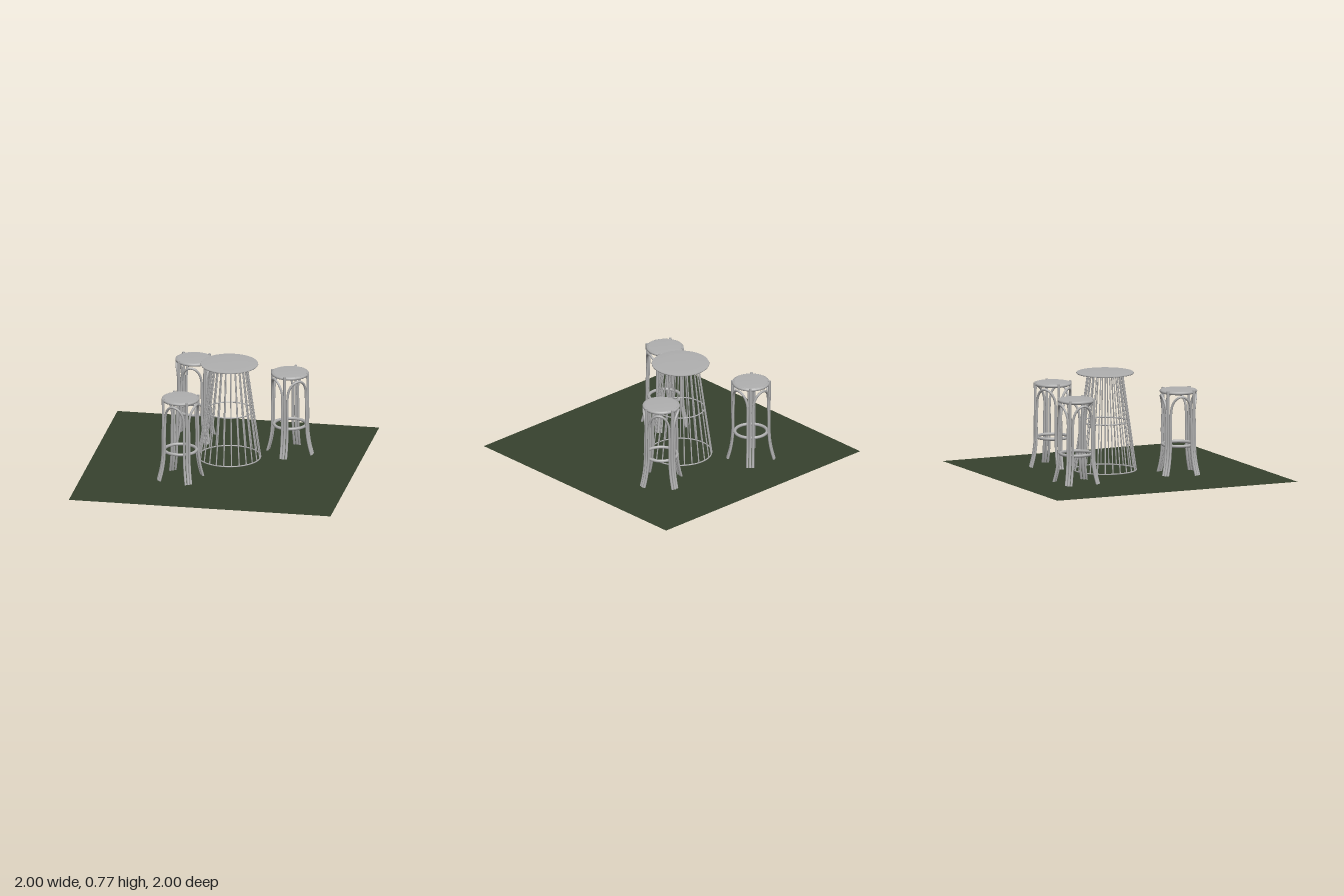
import * as THREE from 'three';

const cane = new THREE.MeshStandardMaterial({ color: 0xb0b0b0, side: THREE.DoubleSide });
cane.name = 'grey cane';
const lawn = new THREE.MeshStandardMaterial({ color: 0x37422e, side: THREE.DoubleSide });
lawn.name = 'dark green lawn';

function add(parent, name, geometry, material = cane) {
  const mesh = new THREE.Mesh(geometry, material);
  mesh.name = name;
  parent.add(mesh);
  return mesh;
}

function ring(parent, name, radius, tube, y) {
  const mesh = add(parent, name, new THREE.TorusGeometry(radius, tube, 8, 48));
  mesh.rotation.x = Math.PI / 2;
  mesh.position.y = y;
  return mesh;
}

// Bent rod through a list of points, closed at both ends
function rod(parent, name, points, radius, segments) {
  const curve = new THREE.CatmullRomCurve3(points);
  add(parent, name, new THREE.TubeGeometry(curve, segments, radius, 8));
  for (const [t, sign] of [[0, -1], [1, 1]]) {
    const cap = add(parent, name + 'End', new THREE.CircleGeometry(radius, 8));
    cap.position.copy(curve.getPointAt(t));
    cap.quaternion.setFromUnitVectors(new THREE.Vector3(0, 0, 1), curve.getTangentAt(t).multiplyScalar(sign));
  }
}

// Lower leg as [distance from the axis, height], flaring out at the foot
const FLARE = [[0.176, 0.004], [0.158, 0.07], [0.145, 0.14], [0.138, 0.22]];

function createStool(x, z, turn) {
  const stool = new THREE.Group();
  stool.name = 'stool';
  stool.position.set(x, 0, z);
  stool.rotation.y = turn;

  // Round seat with softly rolled edge
  const profile = [[0, 0.618], [0.122, 0.618], [0.131, 0.622], [0.135, 0.631], [0.131, 0.641], [0.122, 0.645], [0, 0.646]];
  add(stool, 'seat', new THREE.LatheGeometry(profile.map(p => new THREE.Vector2(...p)), 40));
  ring(stool, 'seatRim', 0.13, 0.012, 0.632);
  ring(stool, 'footRing', 0.121, 0.012, 0.228);

  for (let i = 0; i < 4; i++) {
    const side = new THREE.Group();
    side.name = 'legAndArch';
    side.rotation.y = i * Math.PI / 2;
    stool.add(side);

    // Leg rising to the top of the seat
    const legPoints = [...FLARE, [0.138, 0.4], [0.14, 0.648]];
    rod(side, 'leg', legPoints.map(([r, y]) => new THREE.Vector3(r, y, 0)), 0.0105, 28);

    // Arch joining this leg to the next one, mirrored about the diagonal
    const offset = 0.021;
    const half = FLARE.map(([r, y]) => new THREE.Vector3(r - 0.003, y, offset));
    half.push(new THREE.Vector3(0.135, 0.35, offset));
    const start = Math.atan2(offset, 0.135);
    for (let k = 0; k < 5; k++) {
      const t = k / 5 * Math.PI / 2;
      const a = start + (Math.PI / 4 - start) * (1 - Math.cos(t));
      half.push(new THREE.Vector3(0.132 * Math.cos(a), 0.47 + 0.135 * Math.sin(t), 0.132 * Math.sin(a)));
    }
    const apex = new THREE.Vector3(0.132 * Math.SQRT1_2, 0.605, 0.132 * Math.SQRT1_2);
    const other = half.map(p => new THREE.Vector3(p.z, p.y, p.x)).reverse();
    rod(side, 'arch', [...half, apex, ...other], 0.0095, 64);
  }
  return stool;
}

function createTable() {
  const table = new THREE.Group();
  table.name = 'table';
  table.position.set(0.02, 0, -0.115);

  // Thin top, shaded smoothly over its edge
  const profile = [[0, 0.755], [0.13, 0.755], [0.214, 0.757], [0.217, 0.762], [0.214, 0.767], [0.13, 0.769], [0, 0.769]];
  add(table, 'tableTop', new THREE.LatheGeometry(profile.map(p => new THREE.Vector2(...p)), 48));

  // Tapering wire cage with three hoops
  ring(table, 'baseHoop', 0.235, 0.005, 0.025);
  ring(table, 'middleHoop', 0.18, 0.005, 0.392);
  ring(table, 'topHoop', 0.132, 0.005, 0.752);
  const count = 25;
  for (let i = 0; i < count; i++) {
    const a = i / count * Math.PI * 2;
    const at = (r, y) => new THREE.Vector3(r * Math.sin(a), y, r * Math.cos(a));
    const line = new THREE.LineCurve3(at(0.235, 0.025), at(0.132, 0.755));
    add(table, 'wire', new THREE.TubeGeometry(line, 1, 0.005, 6));
  }
  return table;
}

export function createModel() {
  const model = new THREE.Group();
  model.name = 'barTableWithStools';

  // Square of ground
  const ground = add(model, 'ground', new THREE.PlaneGeometry(2, 2), lawn);
  ground.rotation.x = -Math.PI / 2;
  ground.position.y = 0.004;

  model.add(createTable());
  model.add(createStool(-0.325, -0.52, Math.PI / 4));
  model.add(createStool(0.44, -0.35, -0.12));
  model.add(createStool(-0.265, 0.36, 0.53));
  return model;
}
